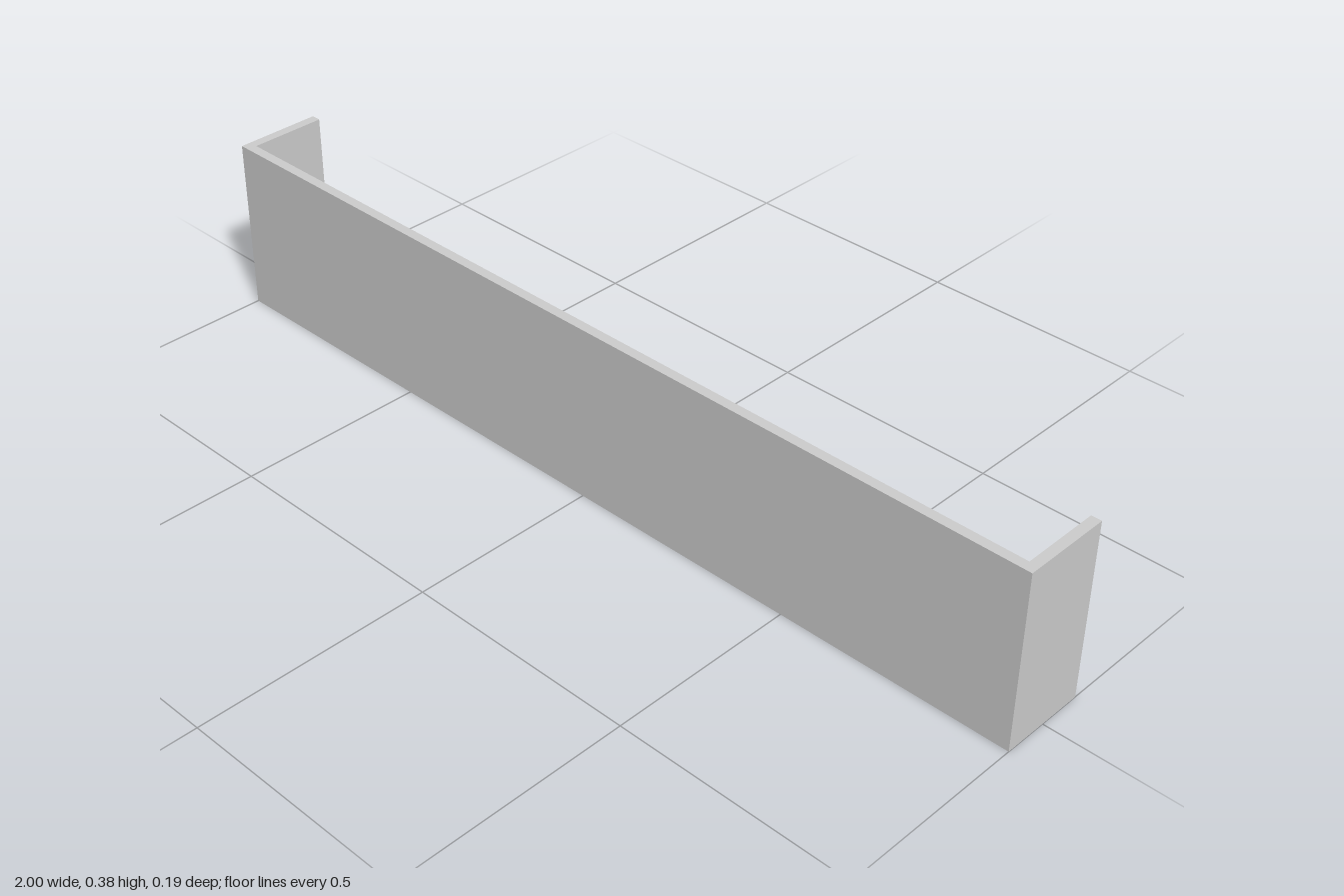
import * as THREE from 'three';

const W = 2, H = 0.377, D = 0.188, T = 0.021; // width, height, depth, board thickness

export function createModel() {
  const group = new THREE.Group();
  group.name = 'openBackTray';
  const material = new THREE.MeshStandardMaterial({ color: 0xcccccc, flatShading: true });
  const x = W / 2, d = D / 2;

  // Front panel and both end panels: a U-shaped footprint, open at the back
  const footprint = new THREE.Shape([
    [-x, -d], [x, -d], [x, d], [x - T, d],
    [x - T, -d + T], [-x + T, -d + T], [-x + T, d], [-x, d],
  ].map(([px, py]) => new THREE.Vector2(px, py)));
  const wallGeometry = new THREE.ExtrudeGeometry(footprint, { depth: H, bevelEnabled: false });
  wallGeometry.rotateX(-Math.PI / 2);
  const walls = new THREE.Mesh(wallGeometry, material);
  walls.name = 'frontAndEndPanels';
  group.add(walls);

  // Floor board set between the walls, flush with the back and underside
  const floor = new THREE.Mesh(new THREE.BoxGeometry(W - 2 * T, T, D - T), material);
  floor.name = 'floorBoard';
  floor.position.set(0, T / 2, -T / 2);
  group.add(floor);

  return group;
}
